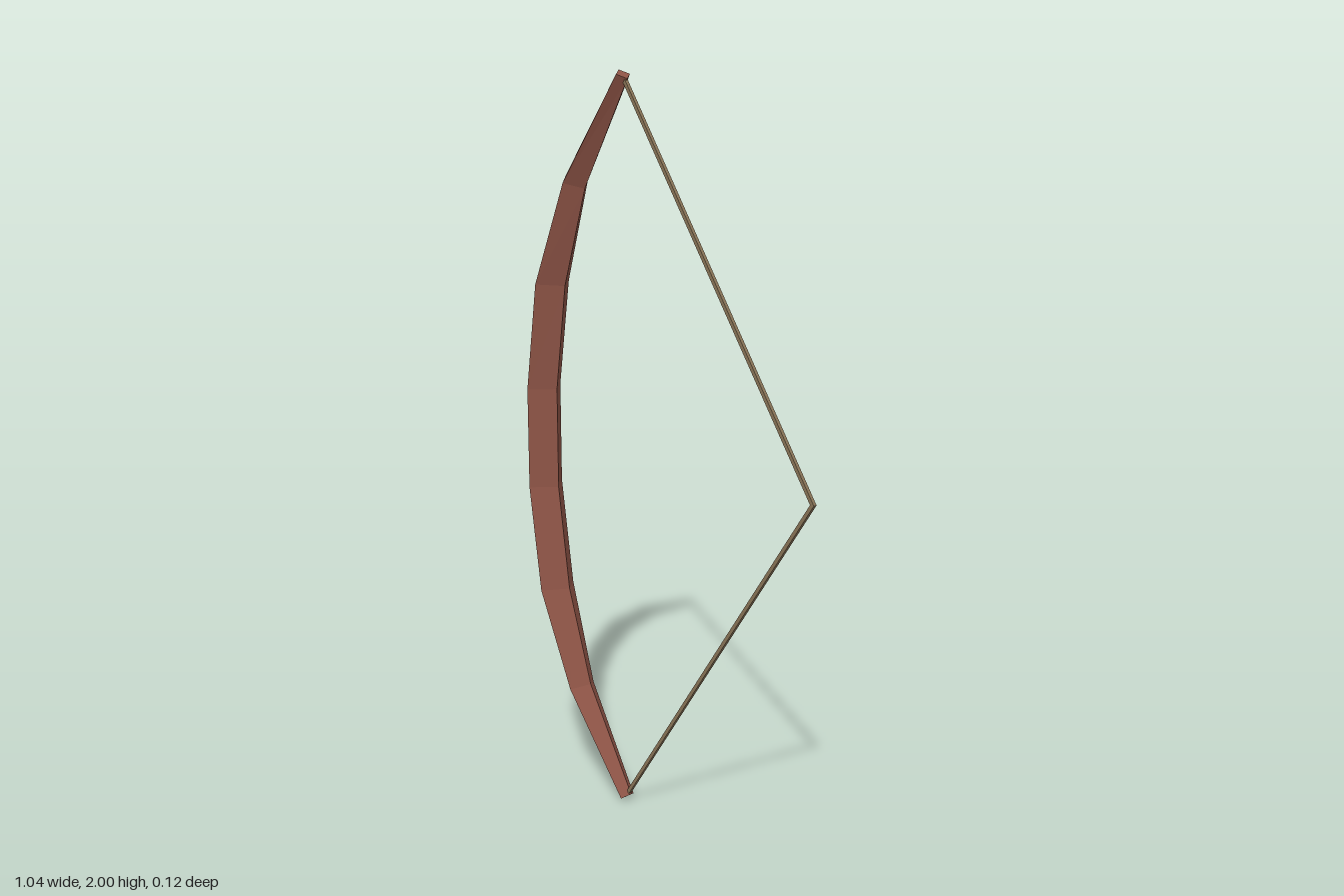
import * as THREE from 'three';

// Skin a row of four-point rings (bottom to top) with flat faces and end caps
function loft(rings) {
  const pos = [];
  const quad = (a, b, c, d) => pos.push(...a, ...b, ...c, ...a, ...c, ...d);
  for (let i = 0; i < rings.length - 1; i++) {
    for (let j = 0; j < 4; j++) {
      const k = (j + 1) % 4;
      quad(rings[i][j], rings[i][k], rings[i + 1][k], rings[i + 1][j]);
    }
  }
  quad(...[...rings[0]].reverse());
  quad(...rings[rings.length - 1]);
  const geo = new THREE.BufferGeometry();
  geo.setAttribute('position', new THREE.Float32BufferAttribute(pos, 3));
  geo.computeVertexNormals();
  return geo;
}

export function createModel() {
  const wood = new THREE.MeshStandardMaterial({ color: 0x8f5547 });
  wood.name = 'reddish wood';
  const cord = new THREE.MeshStandardMaterial({ color: 0x8a7558 });
  cord.name = 'tan cord';

  // Upper limb sections: outer x, outer y, inner x, inner y, half width
  const sections = [
    [-0.525, 1.14, -0.415, 1.14, 0.06],
    [-0.48, 1.44, -0.375, 1.43, 0.06],
    [-0.365, 1.725, -0.29, 1.695, 0.044],
    [-0.157, 2.0, -0.125, 1.978, 0.024],
  ];
  const mirrored = sections.map(([ox, oy, ix, iy, w]) => [ox, 2 - oy, ix, 2 - iy, w]).reverse();
  // Diamond cross-section: ridge, side, belly, side
  const rings = [...mirrored, ...sections].map(([ox, oy, ix, iy, w]) => [
    [ox, oy, 0],
    [(ox + ix) / 2, (oy + iy) / 2, w],
    [ix, iy, 0],
    [(ox + ix) / 2, (oy + iy) / 2, -w],
  ]);
  const bow = new THREE.Mesh(loft(rings), wood);
  bow.name = 'bowLimbs';

  // Drawn string: square cord bent at the nocking point
  const r = 0.005, h = 0.006;
  const stringRings = [[-0.138, 0.02], [0.514, 1], [-0.138, 1.98]].map(([x, y]) => [
    [x - h, y, -r], [x - h, y, r], [x + h, y, r], [x + h, y, -r],
  ]);
  const string = new THREE.Mesh(loft(stringRings), cord);
  string.name = 'bowString';

  const group = new THREE.Group();
  group.name = 'bow';
  group.add(bow, string);
  return group;
}
